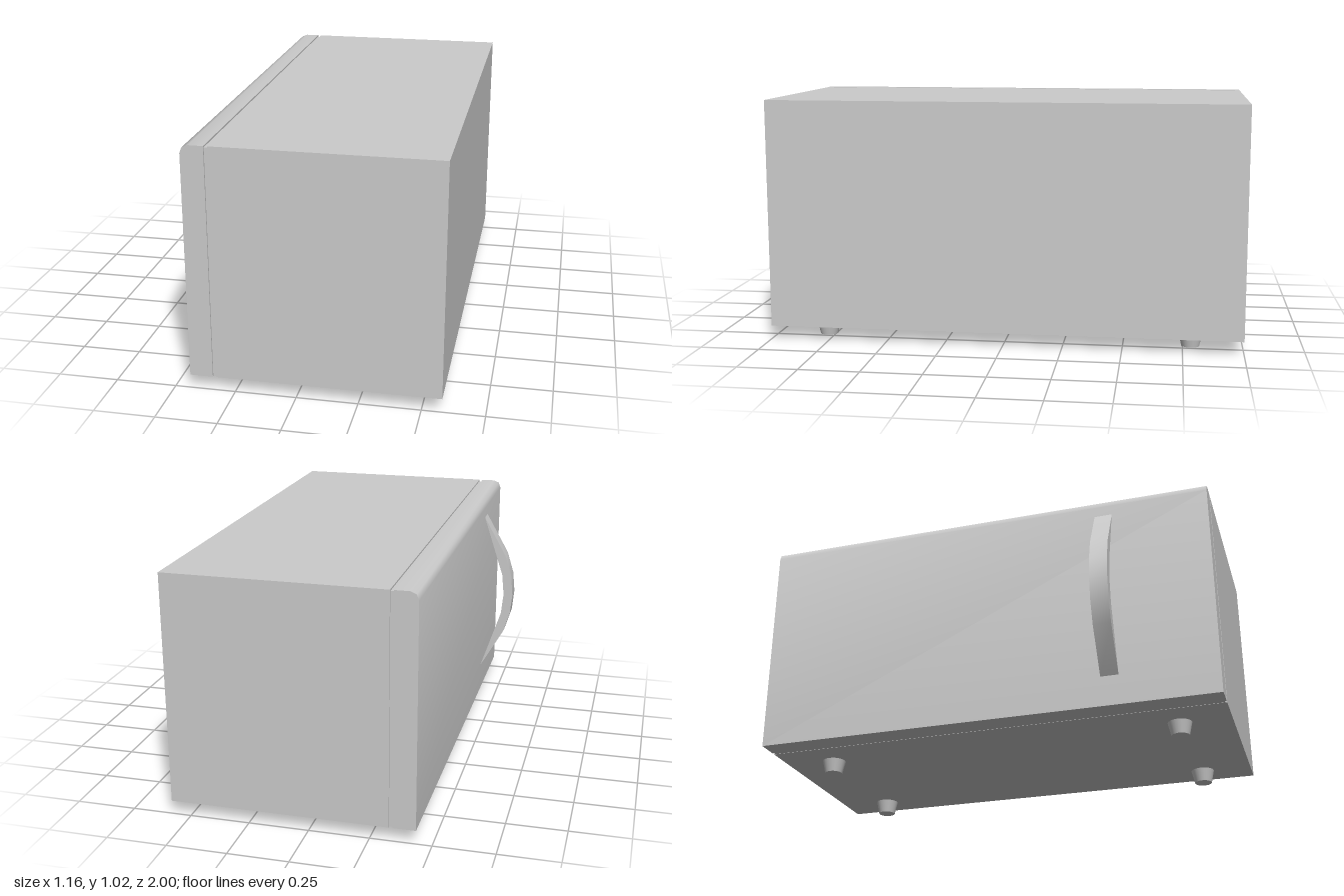
import * as THREE from 'three';
import { toCreasedNormals } from 'three/addons/utils/BufferGeometryUtils.js';

const material = new THREE.MeshStandardMaterial({ color: 0xcccccc });
const BOTTOM = 0.057, TOP = 1.025;

function add(group, name, geometry, x = 0, y = 0, z = 0) {
  const mesh = new THREE.Mesh(geometry, material);
  mesh.name = name;
  mesh.position.set(x, y, z);
  group.add(mesh);
  return mesh;
}

// Box given by its x and y extents, centred in z
function addBox(group, name, x0, x1, y0, y1, depth) {
  add(group, name, new THREE.BoxGeometry(x1 - x0, y1 - y0, depth), (x0 + x1) / 2, (y0 + y1) / 2);
}

// Side profile extruded along z, with smooth rounded faces and sharp ends
function extrudeProfile(points, depth) {
  const shape = new THREE.Shape(points.map(([x, y]) => new THREE.Vector2(x, y)));
  const geometry = new THREE.ExtrudeGeometry(shape, { depth, bevelEnabled: false });
  geometry.translate(0, 0, -depth / 2);
  return toCreasedNormals(geometry, THREE.MathUtils.degToRad(52));
}

export function createModel() {
  const model = new THREE.Group();
  model.name = 'microwaveOven';

  // Main housing and the recessed seal between housing and door
  addBox(model, 'housing', -0.327, 0.581, BOTTOM, TOP, 2);
  addBox(model, 'doorSeal', -0.345, -0.323, BOTTOM + 0.001, TOP - 0.007, 1.985);

  // Door with a rounded upper edge
  add(model, 'door', extrudeProfile([
    [-0.342, BOTTOM], [-0.342, TOP], [-0.403, TOP],
    [-0.427, 1.015], [-0.436, 0.991], [-0.436, BOTTOM],
  ], 2));

  // Bowed handle, tapering to a point at both ends
  add(model, 'handle', extrudeProfile([
    [-0.436, 0.945], [-0.542, 0.76], [-0.573, 0.66], [-0.582, 0.566],
    [-0.573, 0.472], [-0.542, 0.372], [-0.436, 0.187],
    [-0.529, 0.468], [-0.539, 0.566], [-0.529, 0.664],
  ], 0.076), 0, 0, 0.55);

  // Four tapered feet
  const foot = new THREE.CylinderGeometry(0.051, 0.038, BOTTOM, 24);
  for (const x of [-0.165, 0.452])
    for (const z of [-0.783, 0.783]) add(model, 'foot', foot, x, BOTTOM / 2, z);

  return model;
}
